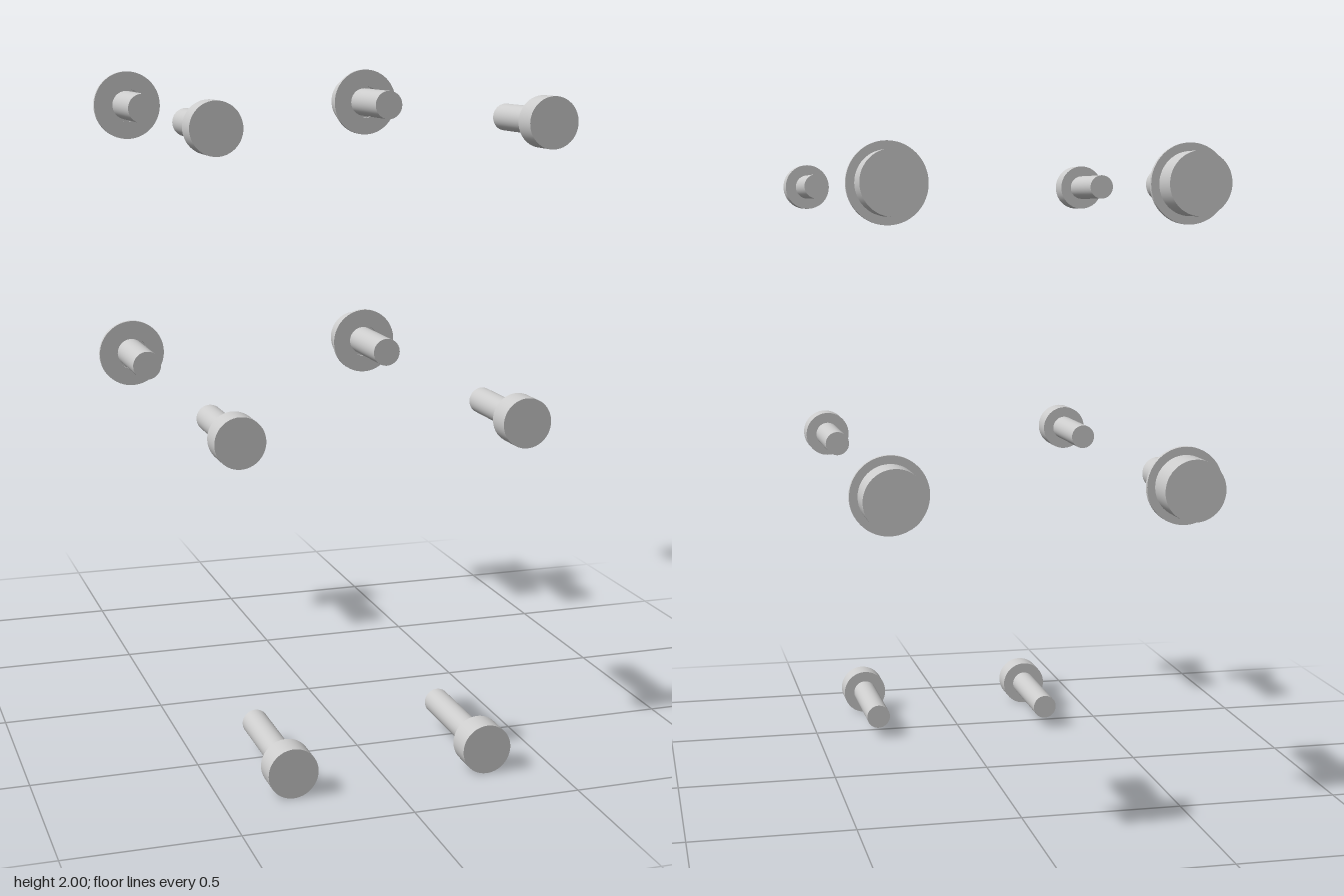
import * as THREE from 'three';

const material = new THREE.MeshStandardMaterial({ color: 0xcccccc });
const SIDES = 48;

// Solid round bar along z between two depths
function bar(name, radius, z0, z1) {
  const geometry = new THREE.CylinderGeometry(radius, radius, Math.abs(z1 - z0), SIDES);
  geometry.rotateX(Math.PI / 2);
  const mesh = new THREE.Mesh(geometry, material);
  mesh.name = name;
  mesh.position.z = (z0 + z1) / 2;
  return mesh;
}

// Flat ring with a clearance hole, growing towards +z from z0
function ring(name, outer, inner, z0, thickness) {
  const shape = new THREE.Shape().absarc(0, 0, outer, 0, Math.PI * 2);
  shape.holes.push(new THREE.Path().absarc(0, 0, inner, 0, Math.PI * 2, true));
  const geometry = new THREE.ExtrudeGeometry(shape, {
    depth: thickness, bevelEnabled: false, curveSegments: SIDES,
  });
  const mesh = new THREE.Mesh(geometry, material);
  mesh.name = name;
  mesh.position.z = z0;
  return mesh;
}

// Cap screw with its head towards the front
function frontScrew(headFront) {
  const group = new THREE.Group();
  group.add(
    bar('screwHead', 0.074, headFront, headFront - 0.08),
    bar('screwShaft', 0.0395, headFront - 0.08, 0.404),
  );
  return group;
}

// Thicker cap screw with a washer, its head towards the back
function backScrew() {
  const group = new THREE.Group();
  group.add(
    bar('screwHead', 0.09, -0.811, -0.714),
    ring('washer', 0.1135, 0.055, -0.714, 0.014),
    bar('screwShaft', 0.048, -0.714, -0.452),
  );
  return group;
}

export function createModel() {
  const model = new THREE.Group();
  model.name = 'screwSet';

  // One row per mirrored pair: name, x, y, builder
  const pairs = [
    ['upperFrontScrew', 0.487, 1.887, () => frontScrew(0.748)],
    ['middleFrontScrew', 0.428, 1.031, () => frontScrew(0.748)],
    ['lowerFrontScrew', 0.296, 0.074, () => frontScrew(0.811)],
    ['upperBackScrew', 0.428, 1.887, backScrew],
    ['middleBackScrew', 0.428, 1.031, backScrew],
  ];
  for (const [name, x, y, build] of pairs) {
    for (const side of [1, -1]) {
      const screw = build();
      screw.name = name + (side > 0 ? 'Left' : 'Right');
      screw.position.set(side * x, y, 0);
      model.add(screw);
    }
  }
  return model;
}
